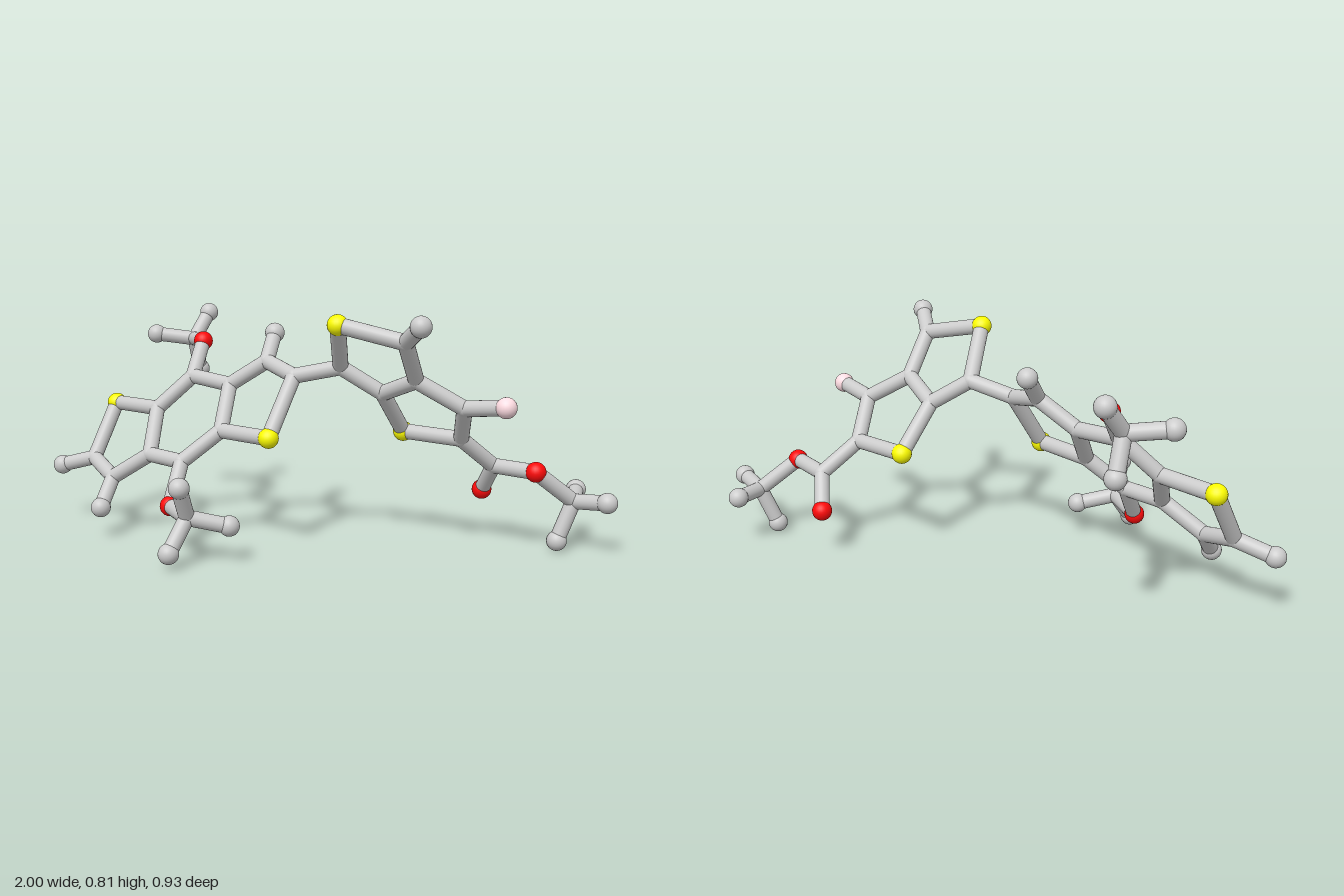
import * as THREE from 'three';

const BALL = 0.034, JOINT = 0.027, ROD = 0.026;

const COLORS = { C: 0xcccccc, H: 0xcccccc, O: 0xff0a0a, S: 0xffff00, F: 0xffdde3 };
const NAMES = { C: 'carbonJoint', H: 'endBall', O: 'oxygenBall', S: 'sulfurBall', F: 'fluorineBall' };

// Each unit lists its atoms (the first letter gives the kind) and its bonds as chains.
const UNITS = {
  fusedCore: {
    atoms: {
      S1: [-0.80, 0.43, -0.15], C1: [-0.835, 0.245, -0.03], C2: [-0.715, 0.20, 0.065],
      C3: [-0.57, 0.29, 0.065], C4: [-0.60, 0.43, -0.07], C5: [-0.48, 0.545, -0.115],
      C6: [-0.315, 0.53, -0.05], C7: [-0.30, 0.39, 0.075], C8: [-0.425, 0.285, 0.125],
      C9: [-0.18, 0.615, -0.055], C10: [-0.055, 0.58, 0.03], S2: [-0.10, 0.39, 0.16],
      H1: [-0.965, 0.21, -0.03], H2: [-0.72, 0.11, 0.152], H3: [-0.18, 0.705, -0.14],
    },
    bonds: ['S1 C1 C2 C3 C4 S1', 'C4 C5 C6 C7 C8 C3', 'C6 C9 C10 S2 C7', 'C1 H1', 'C2 H2', 'C9 H3'],
  },
  upperMethoxy: {
    atoms: {
      O1: [-0.48, 0.66, -0.215], C11: [-0.575, 0.652, -0.355],
      H4: [-0.71, 0.67, -0.315], H5: [-0.545, 0.746, -0.43], H6: [-0.575, 0.532, -0.41],
    },
    bonds: ['C5 O1 C11 H4', 'H5 C11 H6'],
  },
  lowerMethoxy: {
    atoms: {
      O2: [-0.425, 0.155, 0.225], C12: [-0.307, 0.157, 0.356],
      H7: [-0.305, 0.266, 0.418], H8: [-0.34, 0.055, 0.43], H9: [-0.185, 0.125, 0.30],
    },
    bonds: ['C8 O2 C12 H7', 'H8 C12 H9'],
  },
  doubleRing: {
    atoms: {
      C13: [0.107, 0.615, 0.032], S3: [0.14, 0.767, 0.185], C14: [0.36, 0.72, 0.197],
      C15: [0.37, 0.587, 0.08], C16: [0.24, 0.53, -0.005], S4: [0.28, 0.383, -0.14],
      C17: [0.49, 0.378, -0.078], C18: [0.52, 0.50, 0.045],
      H10: [0.425, 0.777, 0.282], F1: [0.66, 0.518, 0.105],
    },
    bonds: ['C10 C13 S3 C14 C15 C16 C13', 'C16 S4 C17 C18 C15', 'C14 H10', 'C18 F1'],
  },
  esterTail: {
    atoms: {
      C19: [0.585, 0.275, -0.173], O3: [0.535, 0.172, -0.255], O4: [0.735, 0.277, -0.10],
      C20: [0.853, 0.17, -0.177], H11: [0.965, 0.185, -0.118],
      H12: [0.805, 0.038, -0.15], H13: [0.85, 0.182, -0.305],
    },
    bonds: ['C17 C19 O3', 'C19 O4 C20 H11', 'H12 C20 H13'],
  },
};

export function createModel() {
  const model = new THREE.Group();
  model.name = 'stickMolecule';

  const materials = {};
  for (const kind in COLORS) {
    materials[kind] = new THREE.MeshStandardMaterial({ color: COLORS[kind] });
  }
  const ballGeometry = new THREE.SphereGeometry(BALL, 24, 16);
  const jointGeometry = new THREE.SphereGeometry(JOINT, 24, 16);
  const rodGeometry = new THREE.CylinderGeometry(ROD, ROD, 1, 24, 1, true);

  const positions = {};
  const up = new THREE.Vector3(0, 1, 0);

  // Rod stretched between two atoms
  function makeBond(a, b) {
    const span = new THREE.Vector3().subVectors(b, a);
    const rod = new THREE.Mesh(rodGeometry, materials.C);
    rod.name = 'bondRod';
    rod.position.copy(a).addScaledVector(span, 0.5);
    rod.scale.y = span.length();
    rod.quaternion.setFromUnitVectors(up, span.normalize());
    return rod;
  }

  for (const [unitName, unit] of Object.entries(UNITS)) {
    const group = new THREE.Group();
    group.name = unitName;

    // Atoms: carbons only round off the rod ends, the others bulge
    for (const [id, point] of Object.entries(unit.atoms)) {
      const kind = id[0];
      positions[id] = new THREE.Vector3(...point);
      const ball = new THREE.Mesh(kind === 'C' ? jointGeometry : ballGeometry, materials[kind]);
      ball.name = NAMES[kind];
      ball.position.copy(positions[id]);
      group.add(ball);
    }

    // Bonds along each chain
    for (const chain of unit.bonds) {
      const ids = chain.split(' ');
      for (let i = 1; i < ids.length; i++) {
        group.add(makeBond(positions[ids[i - 1]], positions[ids[i]]));
      }
    }
    model.add(group);
  }
  return model;
}
